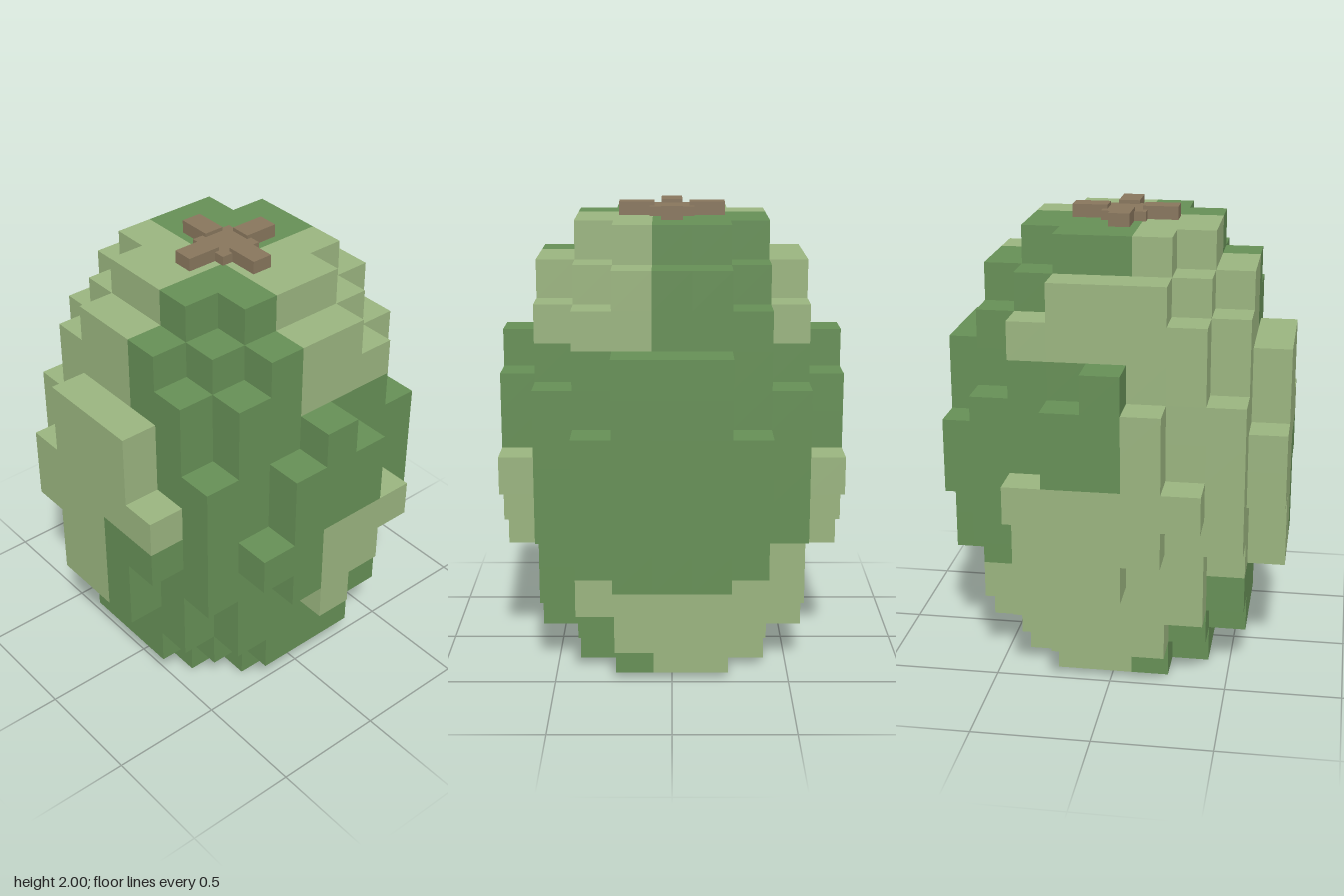
import * as THREE from 'three';
import { mergeGeometries } from 'three/addons/utils/BufferGeometryUtils.js';

const S = 0.162; // block size

const material = (name, color) => {
  const m = new THREE.MeshStandardMaterial({ color });
  m.name = name;
  return m;
};

// Is there a block at column x, layer y, row z? (x, z: -4..4, y: 0..11)
function solid(x, y, z) {
  const a = Math.abs(x), b = Math.abs(z);
  if (y < 0 || y > 11) return false;
  const e = Math.min(y, 11 - y); // layers away from the nearer end
  if (e === 0) return a <= 2 && b <= 2 && a + b < 4;
  if (e === 1) return a <= 3 && b <= 3 && a + b <= 4;
  if (a <= 3 && b <= 3) return e >= 4 || a + b < 6;
  if (e < 3) return false;
  // raised patches on the four sides
  if (a === 4) return b <= (y === 5 || y === 6 ? 2 : 1);
  if (b === 4) return a <= [0, 1, 2, 1, 1, 0][y - 3];
  return false;
}

// Light and dark rind patches, by layer band and quadrant
function isLight(x, y, z) {
  const pos = x >= 0, front = z >= 1;
  if (y >= 9) return z === -3 || pos === front;
  if (y >= 6) return x === -4 || (!pos && !front);
  if (y >= 3) return z === 4 ? pos : !front && (!pos || (z <= -3 && x < 3));
  return x === 3 || z === -3 || (pos && !front);
}

// The six sides of a block: outward direction and a matching plane
const SIDES = [
  [1, 0, 0], [-1, 0, 0], [0, 1, 0], [0, -1, 0], [0, 0, 1], [0, 0, -1],
].map((d) => {
  const dir = new THREE.Vector3(...d);
  const turn = new THREE.Quaternion().setFromUnitVectors(new THREE.Vector3(0, 0, 1), dir);
  if (d[2] === -1) turn.setFromAxisAngle(new THREE.Vector3(0, 1, 0), Math.PI);
  const plane = new THREE.PlaneGeometry(S, S).applyQuaternion(turn);
  plane.translate(dir.x * S / 2, dir.y * S / 2, dir.z * S / 2);
  return { d, plane };
});

export function createModel() {
  const model = new THREE.Group();
  model.name = 'blockFruit';

  // Rind: only the exposed block sides, sorted by colour
  const faces = { dark: [], light: [] };
  for (let y = 0; y < 12; y++)
    for (let x = -4; x <= 4; x++)
      for (let z = -4; z <= 4; z++) {
        if (!solid(x, y, z)) continue;
        const list = isLight(x, y, z) ? faces.light : faces.dark;
        for (const { d, plane } of SIDES)
          if (!solid(x + d[0], y + d[1], z + d[2]))
            list.push(plane.clone().translate(x * S, (y + 0.5) * S, z * S));
      }
  const rind = new THREE.Group();
  rind.name = 'rind';
  const dark = new THREE.Mesh(mergeGeometries(faces.dark), material('dark green', 0x668f56));
  dark.name = 'darkRind';
  const light = new THREE.Mesh(mergeGeometries(faces.light), material('light green', 0x9ab47f));
  light.name = 'lightRind';
  rind.add(dark, light);
  model.add(rind);

  // Stem: low square hub with four raised arms
  const brown = material('stem brown', 0x87755c);
  const stem = new THREE.Group();
  stem.name = 'stem';
  const top = 12 * S;
  const hub = new THREE.Mesh(new THREE.BoxGeometry(0.19, 0.04, 0.19), brown);
  hub.name = 'stemHub';
  hub.position.y = top + 0.02;
  stem.add(hub);
  for (let i = 0; i < 4; i++) {
    const geometry = new THREE.BoxGeometry(0.15, 2 - top, 0.09);
    geometry.translate(0.15, (2 + top) / 2, 0);
    const arm = new THREE.Mesh(geometry, brown);
    arm.name = 'stemArm';
    arm.rotation.y = i * Math.PI / 2;
    stem.add(arm);
  }
  model.add(stem);
  return model;
}
